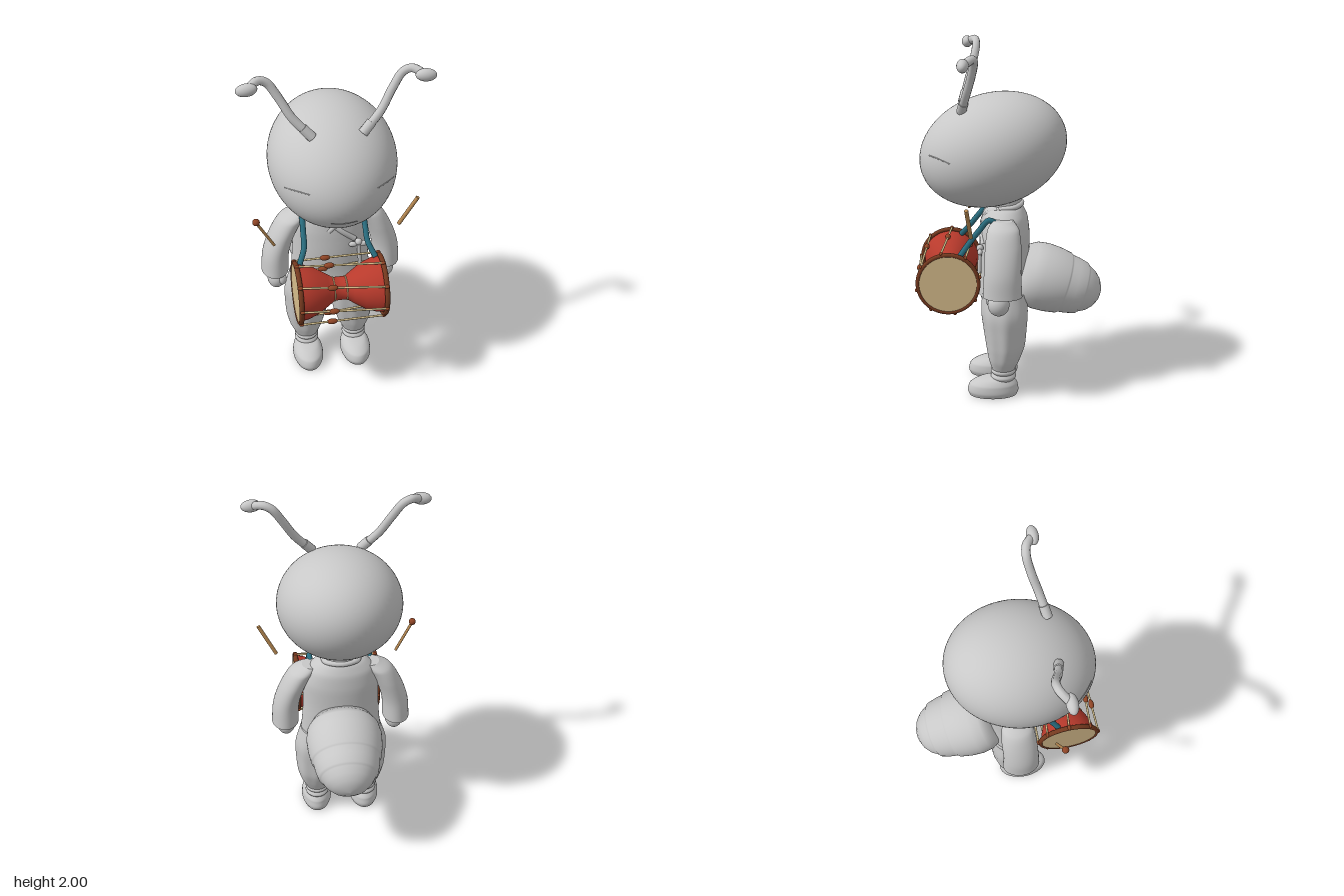
import * as THREE from 'three';

const mat = (name, color, side = THREE.FrontSide) => {
  const m = new THREE.MeshStandardMaterial({ color, side });
  m.name = name;
  return m;
};
const V = (p) => new THREE.Vector3(...p);

// Smooth loft through elliptical sections [y, cx, cz, rx, rz], bottom to top, with flat caps
function loft(sections, { seg = 40, rows = 28, fold = 0, folds = 8 } = {}) {
  const mid = new THREE.CatmullRomCurve3(sections.map(([y, x, z]) => V([x, y, z])));
  const rad = new THREE.CatmullRomCurve3(sections.map((s) => V([s[3], s[4], 0])));
  const pos = [], idx = [];
  const ring = (t, k) => {
    const c = mid.getPoint(t), r = rad.getPoint(t);
    for (let j = 0; j < seg; j++) {
      const a = (j / seg) * Math.PI * 2;
      const f = k * (1 + fold * Math.sin(Math.PI * t) * Math.cos(folds * a));
      pos.push(c.x + r.x * f * Math.cos(a), c.y, c.z + r.y * f * Math.sin(a));
    }
  };
  const band = (first) => {
    for (let j = 0; j < seg; j++) {
      const a = first + j, b = first + ((j + 1) % seg);
      idx.push(a, a + seg, b, b, a + seg, b + seg);
    }
  };
  ring(0, 0); ring(0, 1); band(0);
  for (let i = 0; i <= rows; i++) {
    ring(i / rows, 1);
    if (i < rows) band((2 + i) * seg);
  }
  ring(1, 1); ring(1, 0); band((rows + 3) * seg);
  const g = new THREE.BufferGeometry();
  g.setAttribute('position', new THREE.Float32BufferAttribute(pos, 3));
  g.setIndex(idx);
  g.computeVertexNormals();
  return g;
}

export function createModel() {
  const root = new THREE.Group();
  const grey = mat('light grey', 0xc8c8c8);
  const red = mat('drum red', 0xb83a2c, THREE.DoubleSide);
  const brown = mat('rim brown', 0x74391f);
  const rust = mat('bead brown', 0x8f4526);
  const skin = mat('drum skin beige', 0xd6bc8c);
  const cordMat = mat('cord cream', 0xd8c28e);
  const wood = mat('stick wood', 0xb98a52);
  const teal = mat('strap teal', 0x2a6e80);

  const add = (name, geo, m, parent = root, p = [0, 0, 0]) => {
    const mesh = new THREE.Mesh(geo, m);
    mesh.name = name;
    mesh.position.set(...p);
    parent.add(mesh);
    return mesh;
  };
  const ball = (name, p, r, m, parent = root) => {
    const b = add(name, new THREE.SphereGeometry(1, 32, 20), m, parent, p);
    b.scale.set(...r);
    return b;
  };
  const tube = (name, pts, r, m, parent = root, n = 32) =>
    add(name, new THREE.TubeGeometry(new THREE.CatmullRomCurve3(pts.map(V)), n, r, 10), m, parent);
  const rod = (name, a, b, r, m, parent = root) => {
    const A = V(a), d = V(b).sub(A);
    const c = add(name, new THREE.CylinderGeometry(r, r, d.length(), 12), m, parent);
    c.position.copy(A).addScaledVector(d, 0.5);
    c.quaternion.setFromUnitVectors(V([0, 1, 0]), d.normalize());
    return c;
  };

  // Head: ellipsoid tipped forward, with closed eyes and mouth on its surface
  const head = new THREE.Group();
  head.name = 'head';
  head.position.set(0, 1.422, 0.09);
  head.rotation.x = 0.305;
  root.add(head);
  const skull = add('skull', new THREE.SphereGeometry(1, 64, 40), grey, head);
  skull.scale.set(0.35, 0.311, 0.419);
  const onHead = (x, y) => [x, y, 0.419 * Math.sqrt(1 - (x / 0.35) ** 2 - (y / 0.311) ** 2)];
  const faceLine = (name, pts) => tube(name, pts.map((p) => onHead(...p)), 0.003, grey, head);
  faceLine('mouth', [[-0.07, -0.048], [0, -0.048], [0.07, -0.048]]);
  for (const s of [-1, 1]) faceLine('eye', [[s * 0.175, 0.113], [s * 0.235, 0.095], [s * 0.29, 0.057]]);

  // Torso and neck
  add('neck', new THREE.CylinderGeometry(0.09, 0.1, 0.14, 32), grey, root, [0, 1.11, 0.025]);
  add('jacket', loft([
    [0.6, 0, 0.035, 0.235, 0.152], [0.7, 0, 0.03, 0.225, 0.147], [0.82, 0, 0.03, 0.218, 0.145],
    [0.95, 0, 0.025, 0.215, 0.14], [1.04, 0, 0.025, 0.19, 0.128], [1.09, 0, 0.025, 0.14, 0.105],
    [1.11, 0, 0.025, 0.1, 0.09],
  ], { seg: 56 }), grey);
  add('hips', loft([[0.5, 0, 0.03, 0.15, 0.1], [0.56, 0, 0.03, 0.22, 0.135], [0.64, 0, 0.03, 0.22, 0.14]]), grey);

  // Crossed collar bands and ribbon knot
  tube('collarOver', [[-0.1, 1.1, 0.06], [-0.06, 1.07, 0.118], [0.03, 0.98, 0.153], [0.12, 0.9, 0.146]], 0.016, grey);
  tube('collarUnder', [[0.1, 1.1, 0.06], [0.06, 1.07, 0.118], [0.0, 1.0, 0.15], [-0.03, 0.97, 0.15]], 0.016, grey);
  tube('collarBack', [[-0.1, 1.1, 0.06], [-0.09, 1.11, -0.03], [0, 1.115, -0.07], [0.09, 1.11, -0.03], [0.1, 1.1, 0.06]], 0.015, grey);
  ball('knot', [0.14, 0.89, 0.165], [0.02, 0.02, 0.02], grey);
  for (const s of [-1, 1]) ball('knotLoop', [0.14 + s * 0.03, 0.875, 0.165], [0.026, 0.016, 0.014], grey);
  rod('ribbonTail', [0.14, 0.88, 0.165], [0.15, 0.74, 0.17], 0.011, grey);

  for (const s of [-1, 1]) {
    // Arms
    add('sleeve', loft([
      [0.67, s * 0.325, 0.04, 0.078, 0.108], [0.8, s * 0.315, 0.04, 0.075, 0.102],
      [0.93, s * 0.272, 0.036, 0.072, 0.1], [1.02, s * 0.22, 0.035, 0.07, 0.088],
      [1.06, s * 0.17, 0.035, 0.05, 0.055],
    ]), grey);
    ball('hand', [s * 0.32, 0.62, 0.062], [0.052, 0.065, 0.06], grey);
    ball('thumb', [s * 0.29, 0.635, 0.105], [0.024, 0.04, 0.026], grey);

    // Gathered trousers, ankle bands and shoes
    add('trouserLeg', loft([
      [0.16, s * 0.145, 0.035, 0.066, 0.066], [0.22, s * 0.145, 0.03, 0.094, 0.088],
      [0.3, s * 0.142, 0.023, 0.116, 0.108], [0.4, s * 0.138, 0.025, 0.128, 0.12],
      [0.5, s * 0.136, 0.028, 0.132, 0.13], [0.62, s * 0.125, 0.03, 0.11, 0.125],
    ], { seg: 64, fold: 0.025 }), grey);
    for (const y of [0.115, 0.15]) {
      add('ankleBand', loft([
        [y - 0.02, s * 0.145, 0.035, 0.06, 0.06], [y, s * 0.145, 0.035, 0.071, 0.073],
        [y + 0.02, s * 0.145, 0.035, 0.062, 0.062],
      ], { rows: 10 }), grey);
    }
    add('shoe', loft([
      [0, s * 0.146, 0.095, 0.08, 0.136], [0.03, s * 0.146, 0.095, 0.09, 0.147],
      [0.07, s * 0.146, 0.092, 0.086, 0.138], [0.1, s * 0.146, 0.075, 0.066, 0.1],
      [0.115, s * 0.146, 0.05, 0.04, 0.05],
    ]), grey);

    // Antennae
    tube('antenna', [
      [s * 0.14, 1.67, 0.258], [s * 0.23, 1.77, 0.23], [s * 0.295, 1.88, 0.2], [s * 0.35, 1.96, 0.186],
      [s * 0.395, 1.98, 0.195], [s * 0.45, 1.96, 0.235],
    ], 0.023, grey, root, 48);
    rod('antennaBase', [s * 0.132, 1.662, 0.26], [s * 0.18, 1.715, 0.245], 0.027, grey);
    ball('antennaTip', [s * 0.457, 1.958, 0.24], [0.056, 0.034, 0.031], grey).rotation.z = -s * 0.1;

    // Drum straps over the shoulders
    tube('strap', [
      [s * 0.17, 1.04, 0.07], [s * 0.172, 1.06, 0.115], [s * 0.175, 1.0, 0.17],
      [s * 0.18, 0.93, 0.225], [s * 0.215, 0.86, 0.28],
    ], 0.016, teal);
    ball('strapEnd', [s * 0.17, 1.04, 0.075], [0.018, 0.02, 0.02], teal);
  }

  // Abdomen: stepped segments, sloping down behind
  const abdomenProfile = [
    [0, -0.02], [0.15, -0.02], [0.183, 0.04], [0.192, 0.1], [0.189, 0.17], [0.178, 0.24], [0.171, 0.248],
    [0.168, 0.256], [0.162, 0.3], [0.149, 0.352], [0.139, 0.36], [0.135, 0.368], [0.116, 0.405], [0.085, 0.438],
    [0.045, 0.46], [0, 0.468],
  ].map(([r, t]) => new THREE.Vector2(r, t));
  const abdomen = add('abdomen', new THREE.LatheGeometry(abdomenProfile, 56), grey, root, [0, 0.705, -0.08]);
  abdomen.rotation.x = -Math.PI / 2 - 0.31;
  abdomen.scale.set(1.13, 1, 1);

  // Hourglass drum, axis across the body
  const drum = new THREE.Group();
  drum.name = 'drum';
  drum.position.set(0, 0.713, 0.342);
  root.add(drum);
  const R = 0.168;
  const half = [[0.066, 0], [0.066, 0.035], [0.09, 0.07], [0.128, 0.13], [0.152, 0.19], [0.16, 0.238]];
  const bodyPts = [...half.slice(1).reverse().map(([r, x]) => [r, -x]), ...half];
  add('drumBody', new THREE.LatheGeometry(bodyPts.map((p) => new THREE.Vector2(...p)), 48), red, drum)
    .rotation.z = -Math.PI / 2;
  for (const s of [-1, 1]) {
    add('drumHead', new THREE.CylinderGeometry(R, R, 0.018, 48), skin, drum, [s * 0.239, 0, 0]).rotation.z = Math.PI / 2;
    const rim = add('drumRim', new THREE.TorusGeometry(R, 0.012, 12, 64), brown, drum, [s * 0.238, 0, 0]);
    rim.rotation.y = Math.PI / 2;
    rim.scale.z = 1.2;
    add('waistRing', new THREE.TorusGeometry(0.067, 0.004, 8, 40), cordMat, drum, [s * 0.035, 0, 0]).rotation.y = Math.PI / 2;
  }
  // Tension cords with sliding beads
  for (let i = 0; i < 8; i++) {
    const a = (i * 45 - 5) * Math.PI / 180;
    const at = (x, ang, r = 0.178) => [x, r * Math.sin(ang), r * Math.cos(ang)];
    const left = at(0.236, a - 0.12, 0.179), right = at(-0.236, a + 0.12, 0.179);
    rod('cord', right, left, 0.006, cordMat, drum);
    for (const end of [left, right]) ball('cordHook', end, [0.014, 0.01, 0.01], rust, drum);
    ball('cordBead', at(-0.062, a + 0.03), [0.03, 0.016, 0.016], rust, drum);
  }

  // Drumsticks
  rod('malletStick', [-0.345, 0.98, 0.235], [-0.44, 1.155, 0.255], 0.008, wood);
  ball('malletBall', [-0.441, 1.16, 0.255], [0.02, 0.02, 0.02], rust);
  rod('thinStick', [0.357, 1.02, 0.21], [0.453, 1.2, 0.23], 0.011, wood);

  return root;
}
